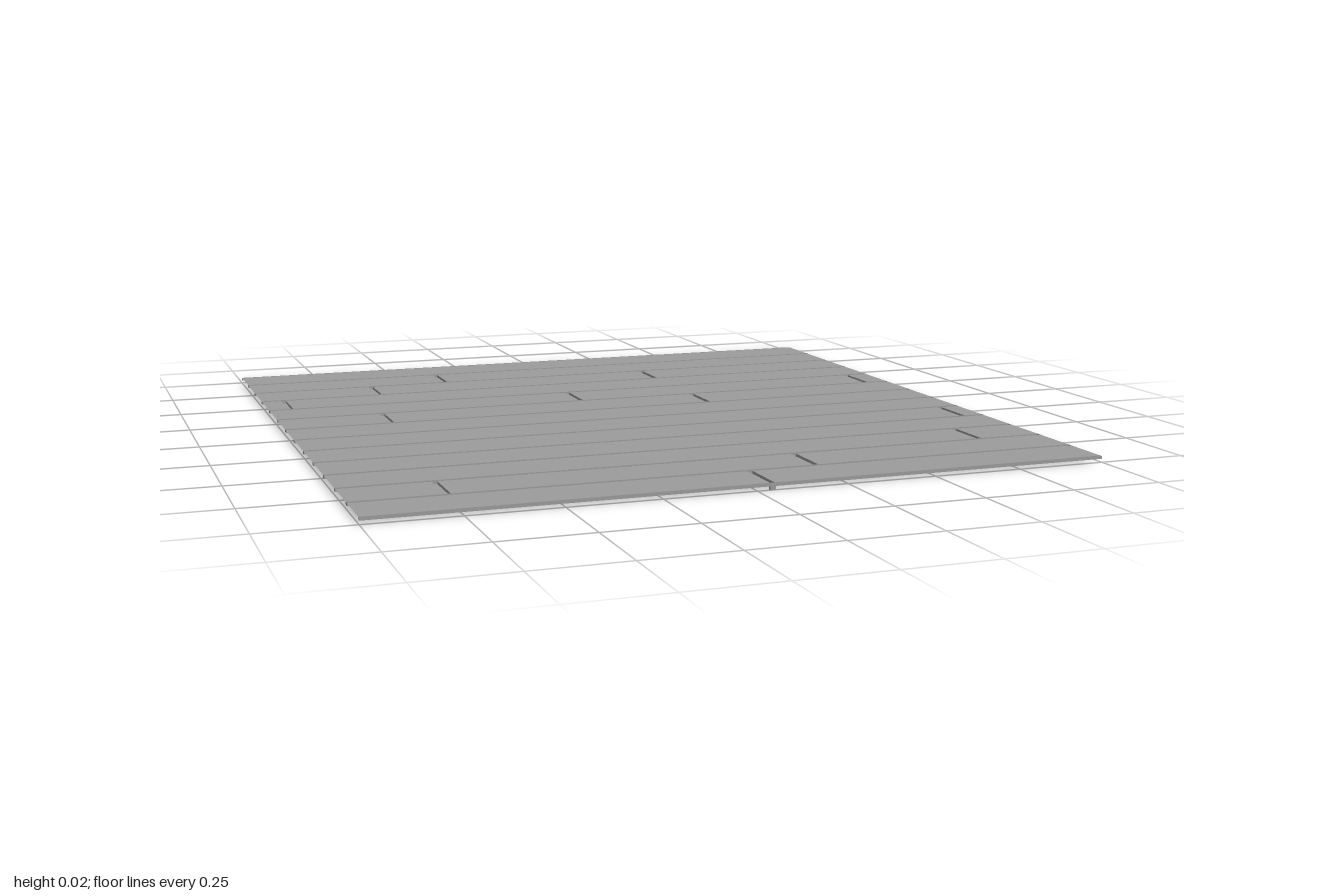
import * as THREE from 'three';

const ROWS = 13, PITCH = 2 / ROWS;
const HALF = 0.0075;              // half width of a groove
const TOP = 0.017, FLOOR = 0.0095; // plank surface and groove bottom

// x positions of the butt joints in each row, from back to front
const JOINTS = [
  [], [-0.38], [-0.63, 0.3], [-0.935], [-0.06, 0.925], [-0.69, 0.305], [],
  [], [0.935], [], [0.81], [-0.75, 0.235], [0.042],
];

export function createModel() {
  const group = new THREE.Group();
  const material = new THREE.MeshStandardMaterial({ color: 0x9c9c9c, side: THREE.DoubleSide });

  const add = (name, geometry) => {
    const mesh = new THREE.Mesh(geometry, material);
    mesh.name = name;
    group.add(mesh);
  };

  // Flat board surface
  const plank = (x0, x1, z0, z1) => {
    const g = new THREE.PlaneGeometry(x1 - x0, z1 - z0).rotateX(-Math.PI / 2);
    add('plank', g.translate((x0 + x1) / 2, TOP, (z0 + z1) / 2));
  };

  // Sunken channel: a box with some faces left out (0 +x, 1 -x, 2 top, 3 bottom, 4 +z, 5 -z)
  const channel = (name, x0, x1, z0, z1, omit, y0 = FLOOR, y1 = TOP) => {
    const g = new THREE.BoxGeometry(x1 - x0, y1 - y0, z1 - z0);
    const index = Array.from(g.index.array);
    g.setIndex(index.filter((_, i) => !omit.includes(Math.floor(i / 6))));
    g.clearGroups();
    add(name, g.translate((x0 + x1) / 2, (y0 + y1) / 2, (z0 + z1) / 2));
  };

  // Long grooves between rows, half as wide along the two outer edges
  for (let k = 0; k <= ROWS; k++) {
    const z = -1 + k * PITCH;
    channel('rowGroove', -1, 1, Math.max(-1, z - HALF), Math.min(1, z + HALF), [2]);
  }

  // Boards of each row, split by short grooves at the joints
  JOINTS.forEach((joints, k) => {
    const z0 = -1 + k * PITCH + HALF, z1 = -1 + (k + 1) * PITCH - HALF;
    let start = -1;
    for (const x of joints) {
      plank(start, x - HALF, z0, z1);
      channel('jointGroove', x - HALF, x + HALF, z0, z1, [2, 4, 5]);
      start = x + HALF;
    }
    plank(start, 1, z0, z1);
  });

  // Deeper notch where the front joint meets the front edge
  channel('frontNotch', 0.042 - HALF, 0.042 + HALF, 1 - HALF, 1, [2], 0, FLOOR);

  return group;
}
